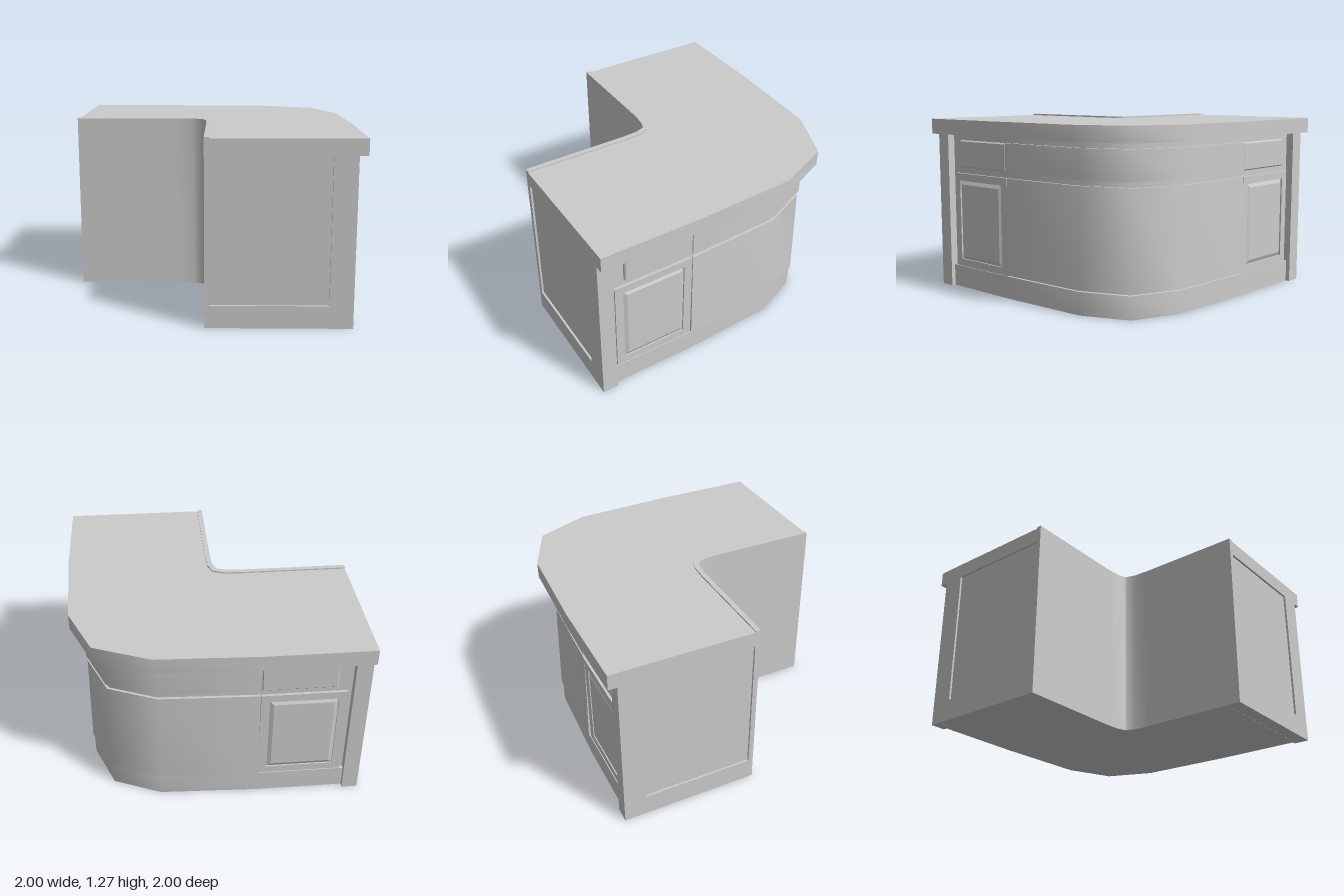
import * as THREE from 'three';
import { toCreasedNormals } from 'three/addons/utils/BufferGeometryUtils.js';

const material = new THREE.MeshStandardMaterial({ color: 0xcccccc, side: THREE.DoubleSide });

// Reflects a plan point [x, z] across the corner's diagonal
const flip = ([x, z]) => [-z, -x];
const withMirror = (half) => [...half, ...half.map(flip).reverse()];

// Half of the outer plan edge, with the inset direction of each corner
const EDGE = [[1, 1], [1, 0.28], [0.97, -0.43], [0.81, -0.81]];
const DIRS = [[1, 0], [1, 0], [0.99, -0.22], [0.76, -0.76]];

// Outer plan line inset by d; end is the z of the free end, null leaves only the curve
function outer(d, end) {
  const half = EDGE.map(([x, z], i) => [x - DIRS[i][0] * d, z - DIRS[i][1] * d]);
  if (end === null) half.shift();
  else half[0][1] = end;
  return withMirror(half);
}

// Plan lines along the concave side; the half runs from the +z end to the bend
const innerLine = (end) => withMirror([[-0.005, end], [-0.003, 0.25], [-0.01, 0.12], [-0.04, 0.042]]);
const wallLine = withMirror([[-0.04, 1], [-0.04, 0.25], [-0.047, 0.14], [-0.07, 0.072]]);

function mesh(name, geometry) {
  const m = new THREE.Mesh(geometry, material);
  m.name = name;
  return m;
}

// Upright prism over a closed plan outline, optionally narrowing towards its top
function prism(name, outline, y0, y1, topScale = 1) {
  const shape = new THREE.Shape(outline.map(([x, z]) => new THREE.Vector2(x, -z)));
  const g = new THREE.ExtrudeGeometry(shape, { depth: y1 - y0, bevelEnabled: false });
  g.rotateX(-Math.PI / 2).translate(0, y0, 0);
  const p = g.attributes.position;
  for (let i = 0; i < p.count; i++) {
    const s = p.getY(i) > (y0 + y1) / 2 ? topScale : 1;
    p.setXYZ(i, p.getX(i) * s, p.getY(i), p.getZ(i) * s);
  }
  return mesh(name, toCreasedNormals(g, 0.85));
}

// Strip that follows the curved corner between two insets
function curvedBand(name, dOut, dIn, y0, y1, topScale) {
  return prism(name, [...outer(dOut, null), ...outer(dIn, null).reverse()], y0, y1, topScale);
}

function box(name, x0, x1, y0, y1, z0, z1) {
  const m = mesh(name, new THREE.BoxGeometry(x1 - x0, y1 - y0, z1 - z0));
  m.position.set((x0 + x1) / 2, (y0 + y1) / 2, (z0 + z1) / 2);
  return m;
}

// Closed rectangle of corner points in the side plane (-z, y)
const rect = (z0, z1, y0, y1) => [[-z1, y0], [-z0, y0], [-z0, y1], [-z1, y1]]
  .map(([a, b]) => new THREE.Vector2(a, b));

// Panel facing +x, with a sloped rim or a rectangular hole
function sidePanel(name, [z0, z1, y0, y1], x0, x1, { rim = 0, rise = 0, hole } = {}) {
  const shape = new THREE.Shape(rect(z0 + rim, z1 - rim, y0 + rim, y1 - rim));
  if (hole) shape.holes.push(new THREE.Path(rect(...hole)));
  const g = new THREE.ExtrudeGeometry(shape, {
    depth: x1 - x0 - rise, bevelEnabled: rim > 0,
    bevelSize: rim, bevelThickness: rise, bevelSegments: 1,
  });
  g.rotateY(Math.PI / 2).translate(x0, 0, 0);
  return mesh(name, toCreasedNormals(g, 0.1));
}

// One straight wing: end panel, corner post, door and drawer
function wing() {
  const g = new THREE.Group();

  // Framed end panel with a shallow recess
  g.add(box('endPanelBottomRail', -0.01, 0.885, 0, 0.155, 0.98, 1));
  g.add(box('endPanelStile', 0.78, 0.885, 0.155, 1.15, 0.98, 1));
  g.add(box('cornerPost', 0.86, 0.94, 0, 1.15, 0.89, 1));

  // Door with a raised field
  const field = [0.34, 0.805, 0.215, 0.805];
  g.add(sidePanel('doorBack', [0.28, 0.865, 0.16, 0.86], 0.87, 0.893));
  g.add(sidePanel('doorFrame', [0.28, 0.865, 0.16, 0.86], 0.88, 0.904, { hole: field }));
  g.add(sidePanel('doorRaisedField', field, 0.88, 0.906, { rim: 0.028, rise: 0.013 }));

  // Drawer front
  g.add(sidePanel('drawerFront', [0.28, 0.79, 0.905, 1.105], 0.87, 0.908, { rim: 0.008, rise: 0.008 }));
  return g;
}

export function createModel() {
  const model = new THREE.Group();
  model.name = 'cornerCounter';

  // Carcass, plinth and worktop
  model.add(prism('carcass', [...outer(0.115, 0.985), ...innerLine(0.985).reverse()], 0.001, 1.151));
  model.add(prism('plinth', [...outer(0.09, 0.9), ...innerLine(0.9).reverse()], 0, 0.16));
  model.add(prism('worktop', [...outer(0, 1), ...innerLine(1).reverse()], 1.15, 1.26));

  // Wall on the concave side, with a low lip above the worktop
  model.add(prism('innerWall', [...innerLine(1), ...wallLine.reverse().slice()], 0, 1.27));
  wallLine.reverse();

  // Curved fronts around the corner
  model.add(curvedBand('curvedDoor', 0.08, 0.13, 0.17, 0.86, 0.982));
  model.add(curvedBand('curvedDrawerBand', 0.09, 0.13, 0.9, 1.107));

  // Wings, the second reflected across the diagonal
  const leftWing = wing();
  leftWing.name = 'leftWing';
  const rightWing = wing();
  rightWing.name = 'rightWing';
  rightWing.scale.x = -1;
  rightWing.rotation.y = -Math.PI / 2;
  model.add(leftWing, rightWing);
  return model;
}
